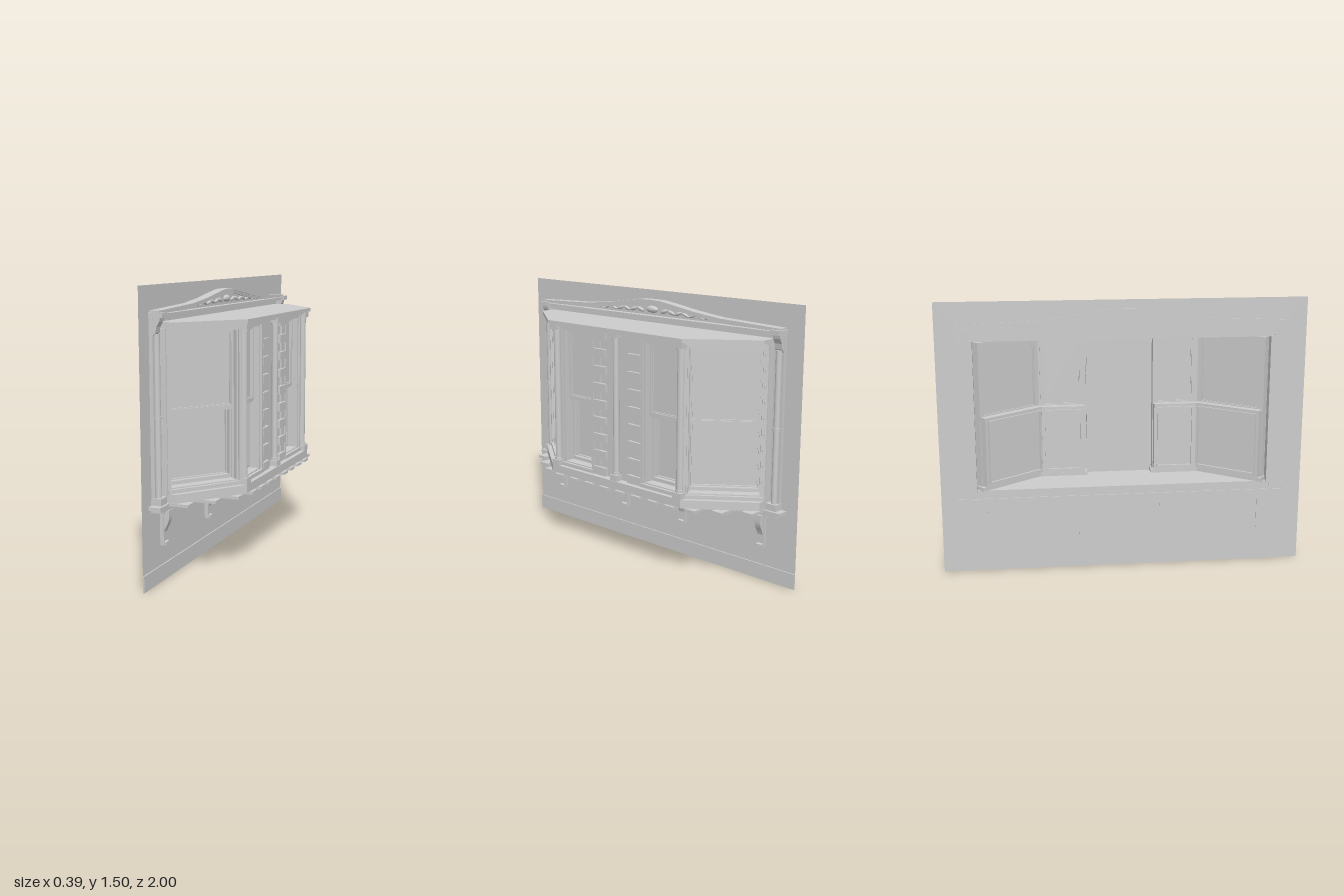
import * as THREE from 'three';

const mat = new THREE.MeshStandardMaterial({ color: 0xcccccc, flatShading: true, side: THREE.DoubleSide });
const smooth = new THREE.MeshStandardMaterial({ color: 0xcccccc });
const WALL = -0.17;

function add(parent, name, geo, m = mat) {
  const mesh = new THREE.Mesh(geo, m);
  mesh.name = name;
  parent.add(mesh);
  return mesh;
}

// Box from its limits
function box(parent, name, x0, x1, y0, y1, z0, z1) {
  const b = add(parent, name, new THREE.BoxGeometry(x1 - x0, y1 - y0, z1 - z0));
  b.position.set((x0 + x1) / 2, (y0 + y1) / 2, (z0 + z1) / 2);
  return b;
}

const shapeOf = pts => new THREE.Shape(pts.map(p => new THREE.Vector2(...p)));

// Profile in (z, y), extruded forward along x; profiles are symmetric in z
function slabX(parent, name, pts, x0, depth) {
  const g = new THREE.ExtrudeGeometry(shapeOf(pts), { depth, bevelEnabled: false });
  g.rotateY(Math.PI / 2).translate(x0, 0, 0);
  return add(parent, name, g);
}

// Bay plan polygon with a front at xf, corner at zf, and diagonal ending at xs
function baySlab(parent, name, xs, xf, zs, zf, y0, y1) {
  const pts = [[WALL, -zs], [xs, -zs], [xf, -zf], [xf, zf], [xs, zs], [WALL, zs]];
  const g = new THREE.ExtrudeGeometry(shapeOf(pts), { depth: y1 - y0, bevelEnabled: false });
  g.rotateX(-Math.PI / 2).translate(0, y0, 0);
  return add(parent, name, g);
}

// Rectangular frame in local x/y, from depth z0 to z1
function ring(parent, name, w, y0, y1, t, z0, z1) {
  const h = w / 2;
  const s = shapeOf([[-h, y0], [h, y0], [h, y1], [-h, y1]]);
  s.holes.push(new THREE.Path([[-h + t, y0 + t], [-h + t, y1 - t], [h - t, y1 - t], [h - t, y0 + t]]
    .map(p => new THREE.Vector2(...p))));
  const g = new THREE.ExtrudeGeometry(s, { depth: z1 - z0, bevelEnabled: false });
  return add(parent, name, g.translate(0, 0, z0));
}

// Double-hung window, local +z outward
function sashWindow(name, w) {
  const g = new THREE.Group();
  g.name = name;
  ring(g, 'outerCasing', w, 0.465, 1.29, 0.016, -0.03, 0);
  ring(g, 'innerCasing', w - 0.02, 0.475, 1.28, 0.016, -0.075, -0.012);
  ring(g, 'upperSash', w - 0.045, 0.865, 1.265, 0.014, -0.075, -0.045);
  ring(g, 'upperSashBead', w - 0.068, 0.877, 1.253, 0.008, -0.068, -0.052);
  box(g, 'upperGlass', -w / 2 + 0.03, w / 2 - 0.03, 0.87, 1.26, -0.064, -0.06);
  ring(g, 'lowerSash', w - 0.03, 0.49, 0.875, 0.02, -0.115, -0.07);
  ring(g, 'lowerSashBead', w - 0.065, 0.507, 0.858, 0.008, -0.125, -0.095);
  box(g, 'lowerGlass', -w / 2 + 0.03, w / 2 - 0.03, 0.5, 0.865, -0.112, -0.108);
  box(g, 'meetingRail', -w / 2 + 0.022, w / 2 - 0.022, 0.855, 0.88, -0.075, -0.05);
  box(g, 'windowSill', -w / 2, w / 2, 0.465, 0.485, -0.1, 0.005);
  return g;
}

// Column with block base and capital
function column(parent, name, x, z, r, c) {
  const g = new THREE.Group();
  g.name = name;
  add(g, 'shaft', new THREE.CylinderGeometry(r, r, 0.8, 16), smooth).position.y = 0.88;
  for (const [y, ry] of [[0.505, r * 1.25], [1.262, r * 1.25]]) {
    add(g, 'collar', new THREE.CylinderGeometry(ry, ry, 0.012, 16), smooth).position.y = y;
  }
  box(g, 'base', -c, c, 0.465, 0.498, -c, c);
  box(g, 'capital', -c, c, 1.268, 1.298, -c, c);
  g.position.set(x, 0, z);
  parent.add(g);
}

// Curved gable line: half-profile heights mirrored across the centre
const gable = [[0.89, 1.378], [0.5, 1.393], [0.32, 1.412], [0.16, 1.437], [0.07, 1.449], [0, 1.45]];
const gableLine = (drop, end) => {
  const half = gable.map(([z, y]) => [Math.min(z, end), y - drop]);
  return [...half, ...half.slice(0, -1).reverse().map(([z, y]) => [-z, y])];
};
const gableBand = (parent, name, drop, t, end, depth) =>
  slabX(parent, name, [...gableLine(drop, end), ...gableLine(drop + t, end).reverse()], -0.175, depth);

export function createModel() {
  const model = new THREE.Group();
  model.name = 'bayWindow';

  // Wall sheet with opening, and slightly forward plinth
  const wall = shapeOf([[-1, 0.085], [1, 0.085], [1, 1.5], [-1, 1.5]]);
  wall.holes.push(new THREE.Path([[-0.83, 0.455], [-0.83, 1.3], [0.83, 1.3], [0.83, 0.455]]
    .map(p => new THREE.Vector2(...p))));
  add(model, 'wall', new THREE.ShapeGeometry(wall).rotateY(Math.PI / 2).translate(WALL, 0, 0));
  box(model, 'plinth', WALL, -0.163, 0, 0.085, -1, 1);

  // Bay floor, head and roof
  baySlab(model, 'bayFloor', -0.07, 0.18, 0.83, 0.5, 0.42, 0.465);
  baySlab(model, 'bayHead', -0.095, 0.168, 0.83, 0.49, 1.287, 1.3);
  baySlab(model, 'bayRoof', -0.06, 0.19, 0.835, 0.505, 1.3, 1.32);

  // Planks under the floor
  for (let i = 0; i < 14; i++) {
    const z = (i - 6.5) * 0.123;
    const a = Math.abs(z);
    const end = a > 0.75 ? 0 : a > 0.65 ? 0.095 : a > 0.5 ? 0.168 : 0.197;
    box(model, 'floorPlank', -0.15, end, 0.405, 0.42, z - 0.033, z + 0.033);
  }

  // Windows, corner posts, quoins and wall pilasters on both sides
  const turn = Math.atan2(0.794, 0.607);
  for (const s of [-1, 1]) {
    const side = sashWindow('sideWindow', 0.428);
    side.position.set(0.02, 0, s * 0.66);
    side.rotation.y = s > 0 ? turn : Math.PI - turn;
    const front = sashWindow('frontWindow', 0.27);
    front.position.set(0.15, 0, s * 0.318);
    front.rotation.y = Math.PI / 2;
    model.add(side, front);

    const post = box(model, 'cornerPost', 0.09, 0.15, 0.465, 1.29, -0.022, 0.022);
    post.position.z = s * 0.465;
    column(model, 'cornerColumn', 0.152, s * 0.472, 0.02, 0.029);

    for (let i = 0; i < 17; i++) {
      const wide = i % 2 === 0;
      const y = 0.465 + i * 0.0485;
      const q = box(model, 'quoin', 0.11, wide ? 0.152 : 0.143, y + 0.001, y + 0.0475, 0, wide ? 0.097 : 0.05);
      q.position.z = s * (wide ? 0.134 : 0.158);
    }

    const pil = new THREE.Group();
    pil.name = 'pilaster';
    box(pil, 'jamb', -0.175, -0.11, 0.455, 1.29, -0.045, -0.015);
    box(pil, 'backing', -0.175, -0.15, 0.42, 1.34, -0.03, 0.045);
    box(pil, 'foot', -0.175, -0.115, 0.42, 0.455, -0.015, 0.05);
    add(pil, 'shaft', new THREE.CylinderGeometry(0.017, 0.017, 0.81, 14), smooth).position.set(-0.142, 0.86, 0.02);
    add(pil, 'shaftRing', new THREE.CylinderGeometry(0.022, 0.022, 0.014, 14), smooth).position.set(-0.142, 0.855, 0.02);
    const corbel = shapeOf([[-0.175, 1.255], [-0.15, 1.255], [-0.135, 1.27], [-0.13, 1.3], [-0.115, 1.325],
      [-0.108, 1.355], [-0.175, 1.355]]);
    add(pil, 'corbel', new THREE.ExtrudeGeometry(corbel, { depth: 0.045, bevelEnabled: false }).translate(0, 0, -0.002));
    box(pil, 'corbelBlock', -0.175, -0.096, 1.345, 1.37, -0.008, 0.05);
    pil.position.z = s * 0.85;
    pil.scale.z = s;
    model.add(pil);
  }
  box(model, 'centrePanel', 0.105, 0.132, 0.465, 1.29, -0.18, 0.18);
  column(model, 'centreColumn', 0.15, 0, 0.017, 0.026);

  // Ledge and mouldings below the bay
  box(model, 'ledge', -0.175, -0.105, 0.4, 0.418, -0.93, 0.93);
  box(model, 'ledgeMoulding', -0.175, -0.115, 0.382, 0.4, -0.9, 0.9);
  box(model, 'ledgeApron', -0.175, -0.14, 0.358, 0.382, -0.82, 0.82);
  for (let i = -6; i <= 6; i++) {
    box(model, 'dentil', -0.175, -0.122, 0.366, 0.384, i * 0.125 - 0.03, i * 0.125 + 0.03);
  }

  // Scrolled brackets
  const bracket = new THREE.Shape();
  bracket.moveTo(-0.175, 0.375);
  bracket.lineTo(-0.122, 0.375);
  bracket.lineTo(-0.122, 0.345);
  bracket.bezierCurveTo(-0.122, 0.29, -0.155, 0.29, -0.155, 0.215);
  bracket.lineTo(-0.142, 0.205);
  bracket.lineTo(-0.142, 0.19);
  bracket.lineTo(-0.175, 0.19);
  for (const z of [-0.78, -0.225, 0.225, 0.78]) {
    const b = add(model, 'bracket', new THREE.ExtrudeGeometry(bracket, { depth: 0.036, bevelEnabled: false, curveSegments: 8 }));
    b.position.z = z - 0.018;
    box(model, 'bracketCap', -0.175, -0.118, 0.355, 0.375, z - 0.025, z + 0.025);
    box(model, 'bracketRib', -0.175, -0.15, 0.19, 0.36, z - 0.025, z + 0.025);
  }

  // Curved pediment: field, stepped raking bands, level cornice
  slabX(model, 'pedimentField', [...gableLine(0.01, 0.87), [-0.87, 1.345], [0.87, 1.345]], -0.175, 0.035);
  gableBand(model, 'rakingTop', 0, 0.012, 0.89, 0.06);
  gableBand(model, 'rakingMiddle', 0.012, 0.008, 0.88, 0.052);
  gableBand(model, 'rakingLower', 0.02, 0.007, 0.87, 0.045);
  box(model, 'cornice', -0.175, -0.1, 1.354, 1.363, -0.85, 0.85);
  box(model, 'corniceLower', -0.175, -0.115, 1.343, 1.354, -0.86, 0.86);
  box(model, 'frieze', -0.175, -0.15, 1.3, 1.343, -0.86, 0.86);

  // Leaf relief in the pediment
  for (const s of [-1, 1]) {
    for (let i = 0; i < 7; i++) {
      const leaf = add(model, 'leaf', new THREE.SphereGeometry(1, 8, 5), smooth);
      const k = 1 - i / 9;
      leaf.scale.set(0.012, 0.012 * k, 0.03);
      leaf.position.set(-0.141, 1.374 + 0.016 * k, s * (0.09 + i * 0.052));
      leaf.rotation.x = s * (i % 2 ? 0.3 : -0.3);
    }
  }
  const boss = add(model, 'centreBoss', new THREE.SphereGeometry(1, 12, 8), smooth);
  boss.scale.set(0.018, 0.02, 0.045);
  boss.position.set(-0.141, 1.395, 0);

  return model;
}
